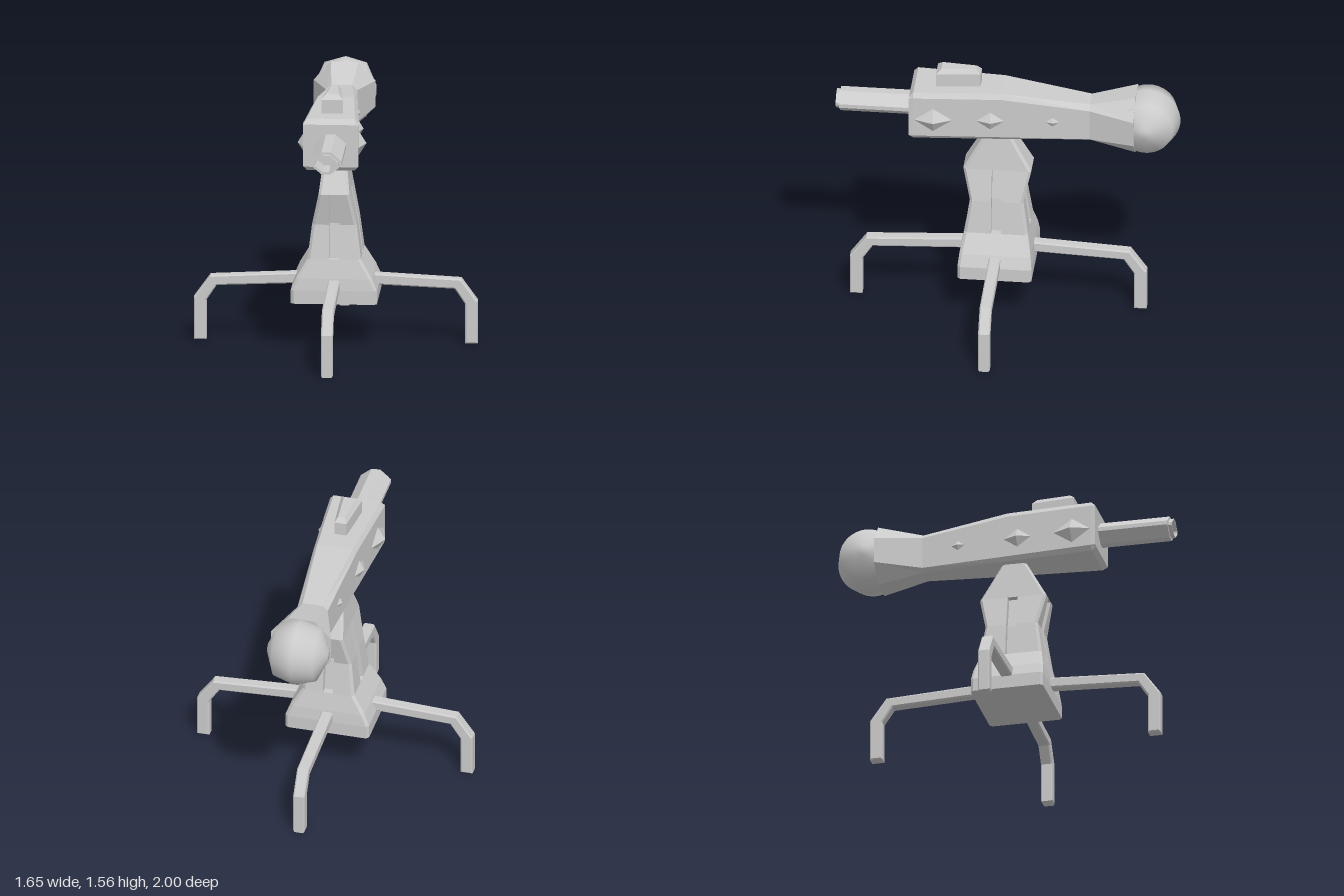
import * as THREE from 'three';

const flat = new THREE.MeshStandardMaterial({ color: 0xcccccc, flatShading: true });
const smooth = new THREE.MeshStandardMaterial({ color: 0xcccccc });

// Skins a stack of equal-length rings (counter-clockwise seen from the end) and caps both ends.
function loft(rings) {
  const n = rings[0].length, last = (rings.length - 1) * n, index = [];
  for (let k = 0; k < rings.length - 1; k++) {
    for (let i = 0; i < n; i++) {
      const a = k * n + i, b = k * n + (i + 1) % n;
      index.push(a, b, b + n, a, b + n, a + n);
    }
  }
  for (let i = 1; i < n - 1; i++) {
    index.push(0, i + 1, i, last, last + i, last + i + 1);
  }
  const geo = new THREE.BufferGeometry();
  geo.setAttribute('position', new THREE.Float32BufferAttribute(rings.flat(2), 3));
  geo.setIndex(index);
  geo.computeVertexNormals();
  return geo;
}

// Octagon in the xy plane: full half width w, top half width t, four heights.
const octagon = (z, w, t, bottom, low, high, top) => [
  [t, bottom, z], [w, low, z], [w, high, z], [t, top, z],
  [-t, top, z], [-w, high, z], [-w, low, z], [-t, bottom, z],
];

// Chamfered rectangle with a groove of the given depth in the middle of each side.
function pedestalRing([y, hx, hz, depth]) {
  const groove = 0.03, chamfer = 0.016, ring = [];
  for (const [nx, nz] of [[1, 0], [0, -1], [-1, 0], [0, 1]]) {
    const out = nx ? hx : hz, w = (nx ? hz : hx) - chamfer;
    const side = [[-w, 0], [-groove, 0], [-groove, depth], [groove, depth], [groove, 0], [w, 0]];
    for (const [s, d] of side) {
      ring.push([nx * (out - d) + nz * s, y, nz * (out - d) - nx * s]);
    }
  }
  return ring;
}

export function createModel() {
  const model = new THREE.Group();
  const add = (name, geo, parent = model, material = flat) => {
    const mesh = new THREE.Mesh(geo, material);
    mesh.name = name;
    parent.add(mesh);
    return mesh;
  };

  // Pedestal and legs share one centre line
  const stand = new THREE.Group();
  stand.name = 'stand';
  stand.position.z = 0.058;
  model.add(stand);

  // Pedestal: y, half width, half depth, groove depth
  add('pedestal', loft([
    [0.27, 0.25, 0.215, 0],
    [0.35, 0.25, 0.215, 0],
    [0.42, 0.22, 0.207, 0],
    [0.53, 0.155, 0.185, 0],
    [0.53, 0.155, 0.185, 0.04],
    [0.73, 0.13, 0.156, 0.04],
    [0.92, 0.09, 0.198, 0.04],
    [0.92, 0.09, 0.198, 0],
    [1.16, 0.06, 0.065, 0],
  ].map(pedestalRing)), stand);

  // Four bent legs with a small bevel
  const bevel = 0.008;
  const legShape = new THREE.Shape([
    [0.1, 0.35], [0.69, 0.325], [0.75, 0.235], [0.75, 0],
    [0.823, 0], [0.823, 0.25], [0.727, 0.383], [0.1, 0.415],
  ].map(([x, y]) => new THREE.Vector2(x, y)));
  const legGeo = new THREE.ExtrudeGeometry(legShape, {
    depth: 0.068 - 2 * bevel, bevelEnabled: true, bevelSegments: 1,
    bevelSize: bevel, bevelThickness: bevel, bevelOffset: -bevel,
  });
  legGeo.translate(0, 0, bevel - 0.034);
  ['leftLeg', 'frontLeg', 'rightLeg', 'backLeg'].forEach((name, i) => {
    const geo = legGeo.clone();
    if (i % 2) geo.translate(0.04, 0, 0);
    add(name, geo, stand).rotation.y = -i * Math.PI / 2;
  });

  // Main housing, narrowing to a neck and flaring at the back
  add('housing', loft([
    octagon(-0.745, 0.18, 0.08, 1.09, 1.19, 1.345, 1.455),
    octagon(-0.48, 0.09, 0.06, 1.147, 1.165, 1.355, 1.385),
    octagon(0.03, 0.125, 0.105, 1.145, 1.168, 1.42, 1.45),
    octagon(0.54, 0.162, 0.14, 1.143, 1.17, 1.42, 1.45),
    octagon(0.565, 0.16, 0.14, 1.168, 1.17, 1.418, 1.42),
  ]));

  // Rounded rear ball, turned around the x axis
  const ballProfile = [
    [0, -0.18], [0.03, -0.18], [0.158, -0.122], [0.193, 0],
    [0.158, 0.122], [0.03, 0.18], [0, 0.18],
  ].map(([r, x]) => new THREE.Vector2(r, x));
  const ball = new THREE.LatheGeometry(ballProfile, 48);
  ball.rotateZ(-Math.PI / 2);
  add('rearBall', ball, model, smooth).position.set(0, 1.273, -0.807);

  // Hollow barrel with a stepped lip
  const barrelRing = (z, s) => octagon(
    z, 0.09 * s, 0.027 * s, 1.298 - 0.066 * s, 1.298 - 0.012 * s, 1.298 + 0.012 * s, 1.298 + 0.066 * s);
  add('barrel', loft([
    barrelRing(0.5, 1), barrelRing(0.977, 1), barrelRing(0.977, 0.79),
    barrelRing(1, 0.79), barrelRing(1, 0.7), barrelRing(0.85, 0.7),
  ]));

  // Tapered sight block on top
  const sightRing = (y, front, back, zFront, zBack) => [
    [front, y, zFront], [back, y, zBack], [-back, y, zBack], [-front, y, zFront],
  ];
  add('sight', loft([
    sightRing(1.43, 0.063, 0.036, 0.417, 0.16),
    sightRing(1.53, 0.063, 0.036, 0.417, 0.16),
    sightRing(1.557, 0.038, 0.02, 0.387, 0.187),
  ]));

  // Diamond studs on both sides: z, half length, half height, base x, tip x
  const tilt = 0.068;
  for (const [z, halfZ, halfY, base, tip] of [
    [0.425, 0.13, 0.088, 0.145, 0.2],
    [0.095, 0.1, 0.07, 0.122, 0.162],
    [-0.265, 0.052, 0.036, 0.1, 0.122],
  ]) {
    const geo = new THREE.ConeGeometry(1, 1, 4);
    geo.translate(0, 0.5, 0).rotateZ(-Math.PI / 2).scale(tip - base, halfY, halfZ);
    for (const side of [1, -1]) {
      const stud = add(side > 0 ? 'leftStud' : 'rightStud', geo);
      stud.position.set(side * base, 1.277, z);
      stud.rotation.y = side > 0 ? tilt : Math.PI - tilt;
    }
  }
  return model;
}
